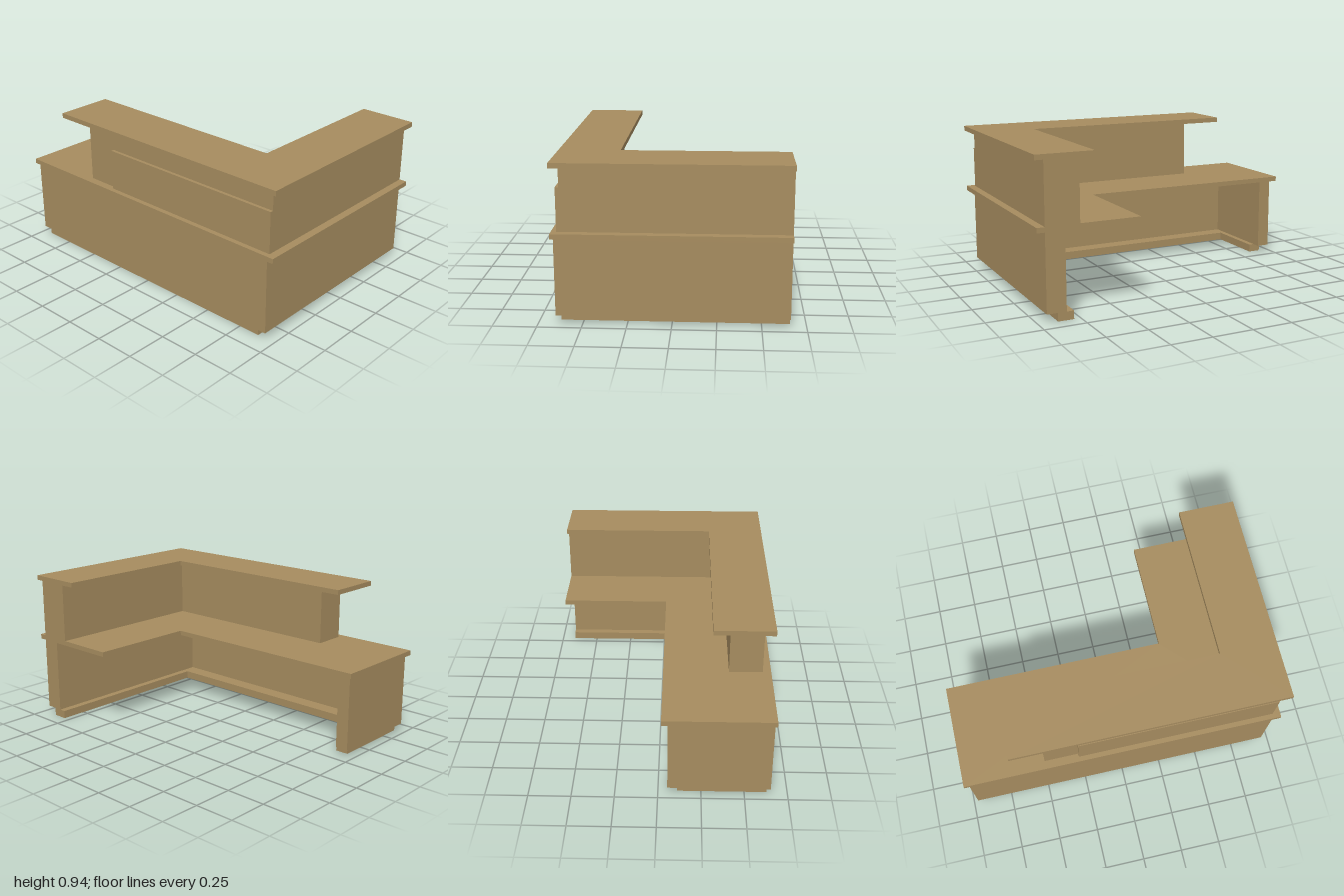
import * as THREE from 'three';

const wood = new THREE.MeshStandardMaterial({ color: 0xa68c5f, flatShading: true });

// Flat slab from a plan outline of [x, z] points, standing between y0 and y1
function slab(name, points, y0, y1) {
  const shape = new THREE.Shape(points.map(([x, z]) => new THREE.Vector2(x, -z)));
  const geometry = new THREE.ExtrudeGeometry(shape, { depth: y1 - y0, bevelEnabled: false });
  geometry.rotateX(-Math.PI / 2).translate(0, y0, 0);
  const mesh = new THREE.Mesh(geometry, wood);
  mesh.name = name;
  return mesh;
}

// L outline: front run from x0 to x1, wing running back to z = back
const back = -0.66;
const ell = (x0, x1, xInner, zInner, zFront) => [
  [x0, zFront], [x1, zFront], [x1, back], [xInner, back], [xInner, zInner], [x0, zInner],
];

export function createModel() {
  const desk = new THREE.Group();
  desk.name = 'receptionDesk';

  // Recessed plinth: front, wing and short return under the end panel
  desk.add(slab('plinth', [
    [-0.935, 0.63], [0.885, 0.63], [0.885, back], [0.79, back],
    [0.79, 0.5], [-0.855, 0.5], [-0.855, 0.11], [-0.935, 0.11],
  ], 0, 0.05));

  // Lower walls with the end panel, open at the back
  desk.add(slab('lowerWalls', [
    [-0.97, 0.65], [0.95, 0.65], [0.95, back], [0.833, back],
    [0.833, 0.6], [-0.89, 0.6], [-0.89, 0.055], [-0.97, 0.055],
  ], 0.05, 0.51));

  // Work surface
  desk.add(slab('workSurface', ell(-1, 0.997, 0.375, 0.02, 0.66), 0.51, 0.54));

  // Raised screen wall and its thin front panel
  desk.add(slab('screenWall', ell(-0.49, 0.95, 0.745, 0.41, 0.61), 0.54, 0.905));
  desk.add(slab('frontPanel', [[-0.28, 0.63], [0.95, 0.63], [0.95, 0.61], [-0.28, 0.61]], 0.54, 0.79));

  // Upper transaction counter
  desk.add(slab('upperCounter', ell(-0.69, 1, 0.652, 0.303, 0.655), 0.905, 0.935));

  return desk;
}
